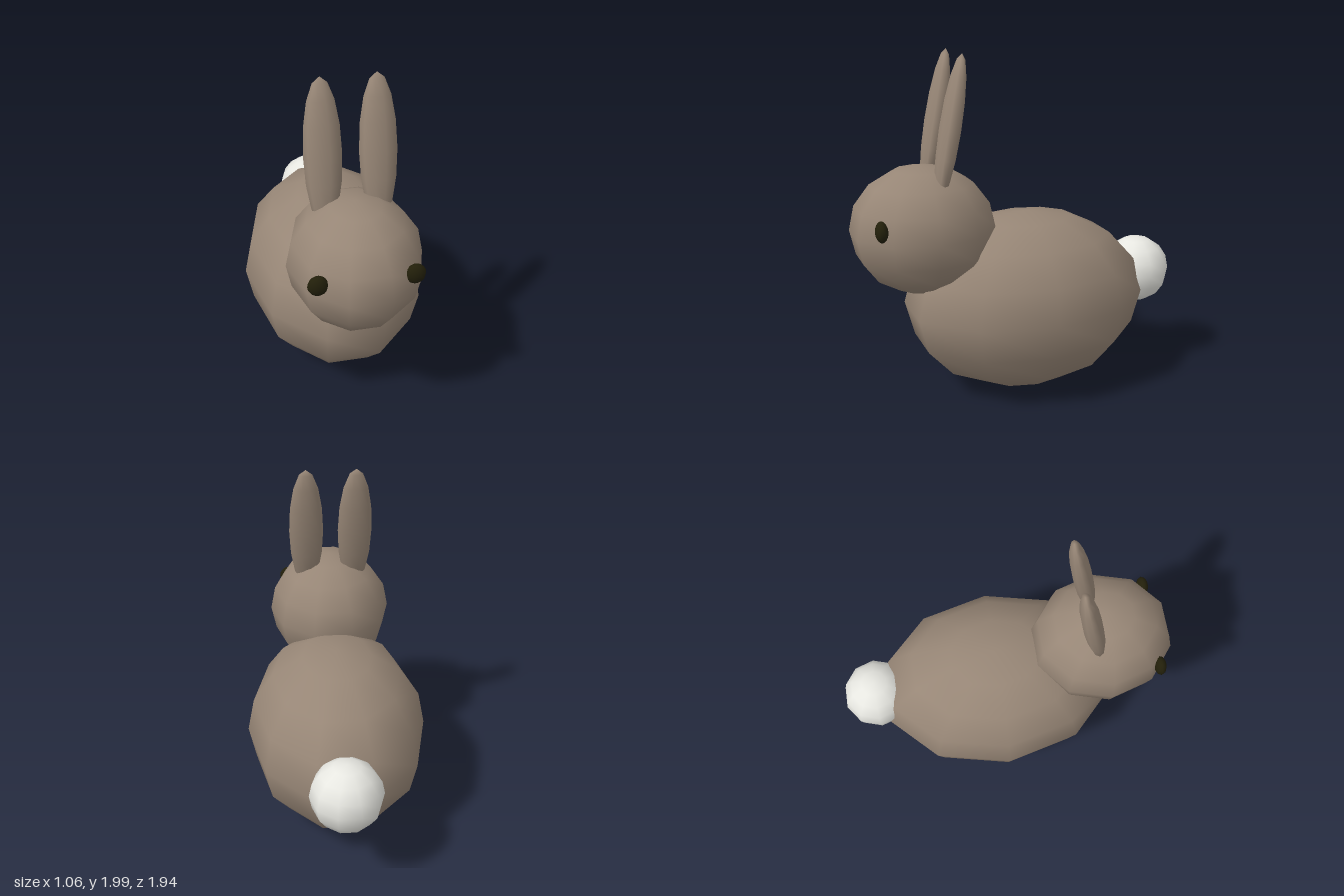
import * as THREE from 'three';

const material = (name, color) => {
  const m = new THREE.MeshStandardMaterial({ color });
  m.name = name;
  return m;
};

export function createModel() {
  const rabbit = new THREE.Group();
  rabbit.name = 'rabbit';

  const fur = material('brownFur', 0x978676);
  const white = material('whiteFur', 0xebebe5);
  const dark = material('darkEye', 0x221f0a);

  // Every part is a smooth-shaded low-poly ellipsoid
  const ball = new THREE.SphereGeometry(1, 10, 8);
  const addEllipsoid = (name, mat, position, radii, tilt = 0) => {
    const mesh = new THREE.Mesh(ball, mat);
    mesh.name = name;
    mesh.position.set(...position);
    mesh.scale.set(...radii);
    mesh.rotation.x = tilt;
    rabbit.add(mesh);
  };

  addEllipsoid('body', fur, [0, 0.54, -0.037], [0.53, 0.53, 0.73]);
  addEllipsoid('head', fur, [0, 1.03, 0.578], [0.367, 0.364, 0.41]);
  addEllipsoid('tail', white, [0, 0.62, -0.778], [0.203, 0.203, 0.203]);

  // Mirrored ears (leaning back) and eyes
  for (const [side, s] of [['left', 1], ['right', -1]]) {
    addEllipsoid(side + 'Ear', fur, [s * 0.143, 1.6, 0.45], [0.1, 0.406, 0.055], -0.185);
    addEllipsoid(side + 'Eye', dark, [s * 0.249, 1.11, 0.865], [0.054, 0.058, 0.034]);
  }

  return rabbit;
}
